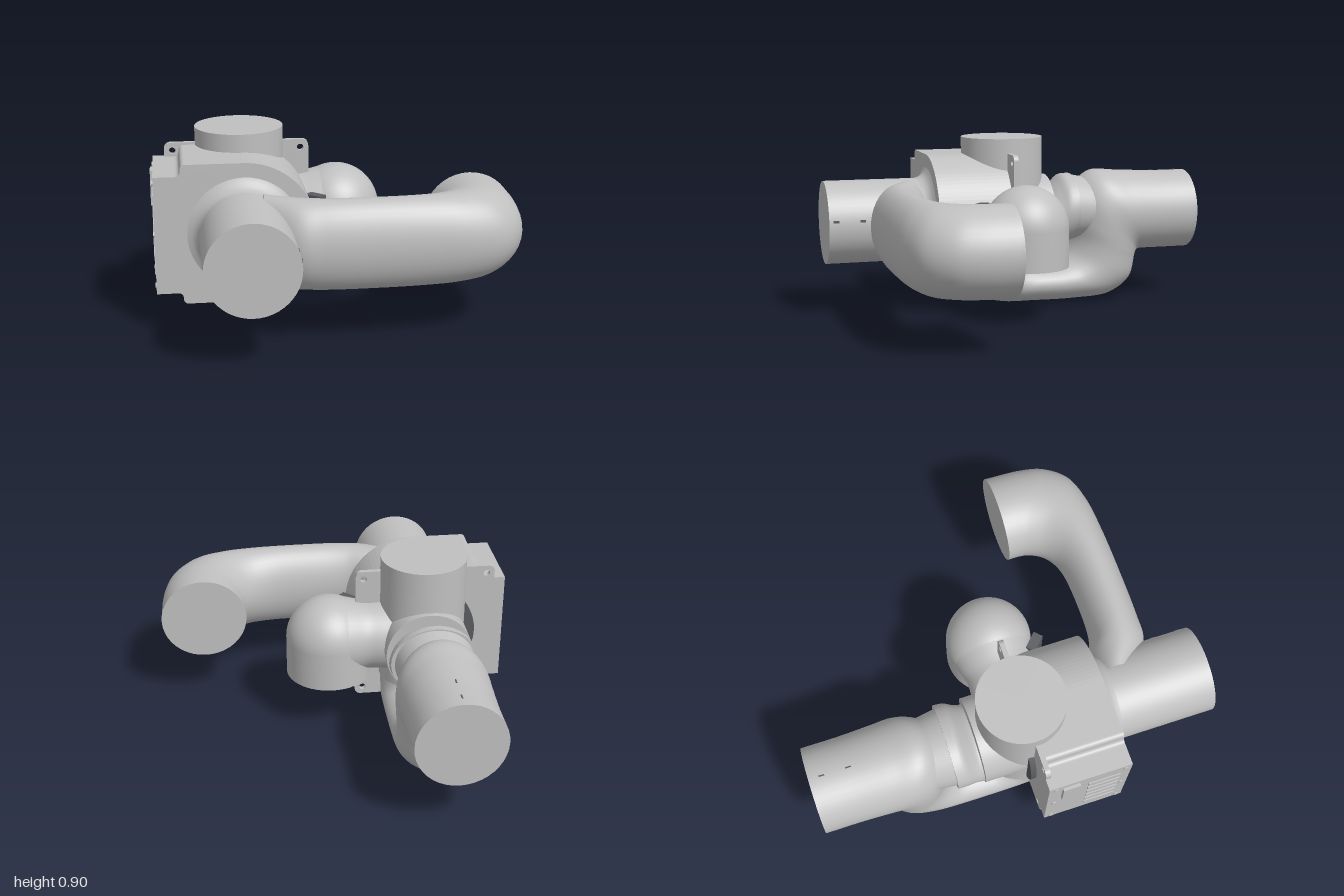
import * as THREE from 'three';

const CX = -0.44, CY = 0.475, R = 0.215;

// Closed loft of ellipses. Rows are [a1,b1, a2,b2, w]: two opposite edge points
// in a plane plus the half width across it; map() puts plane coordinates in space.
function loft(rows, map, steps = 48, sides = 40) {
  const curve = k => new THREE.CatmullRomCurve3(
    rows.map(r => new THREE.Vector3(r[k], r[k + 1], r[4])), false, 'centripetal');
  const c1 = curve(0), c2 = curve(2);
  const pos = [], idx = [], n = rows.length - 1;
  const rings = [];
  for (let i = 0; i <= steps; i++) {
    const t = i / steps, p = c1.getPoint(t), q = c2.getPoint(t);
    const ring = [];
    for (let j = 0; j < sides; j++) {
      const th = j / sides * Math.PI * 2, c = Math.cos(th) / 2;
      ring.push(map(
        (p.x + q.x) / 2 + (q.x - p.x) * c,
        (p.y + q.y) / 2 + (q.y - p.y) * c,
        (p.z + q.z) / 2 * Math.sin(th)));
    }
    rings.push(ring);
    ring.forEach(v => pos.push(...v));
  }
  // orientation from the signed volume between the first rings and their centre
  const mid = ring => ring.reduce((s, v) => s.add(new THREE.Vector3(...v)), new THREE.Vector3()).divideScalar(sides);
  const k = Math.floor(steps / 2), m = mid(rings[k]);
  const e = new THREE.Vector3(...rings[k][0]).sub(m);
  const d = new THREE.Vector3(...rings[k][1]).sub(new THREE.Vector3(...rings[k][0]));
  const flip = d.cross(mid(rings[k + 1]).sub(m)).dot(e) < 0;
  const tri = (a, b, c) => flip ? idx.push(a, c, b) : idx.push(a, b, c);
  for (let i = 0; i < steps; i++) for (let j = 0; j < sides; j++) {
    const a = i * sides + j, b = i * sides + (j + 1) % sides;
    tri(a, b, b + sides);
    tri(a, b + sides, a + sides);
  }
  // flat end caps
  [0, steps].forEach(i => {
    const base = pos.length / 3;
    rings[i].forEach(v => pos.push(...v));
    pos.push(...mid(rings[i]).toArray());
    for (let j = 0; j < sides; j++) {
      const a = base + j, b = base + (j + 1) % sides;
      if (i === 0) tri(base + sides, b, a); else tri(base + sides, a, b);
    }
  });
  const g = new THREE.BufferGeometry();
  g.setAttribute('position', new THREE.Float32BufferAttribute(pos, 3));
  g.setIndex(idx);
  g.computeVertexNormals();
  return g;
}

function extrude(shape, depth, z) {
  return new THREE.ExtrudeGeometry(shape, { depth, bevelEnabled: false, curveSegments: 24 }).translate(0, 0, z);
}

export function createModel() {
  const group = new THREE.Group();
  const grey = new THREE.MeshStandardMaterial({ color: 0xc0c0c0 });
  grey.name = 'light grey';
  const dark = new THREE.MeshStandardMaterial({ color: 0x5a5c60 });
  dark.name = 'dark grey';
  const add = (name, geo, mat = grey) => {
    const mesh = new THREE.Mesh(geo, mat);
    mesh.name = name;
    group.add(mesh);
    return mesh;
  };
  const pipeZ = (r, z0, z1) => new THREE.CylinderGeometry(r, r, z1 - z0, 48)
    .rotateX(Math.PI / 2).translate(CX, CY, (z0 + z1) / 2);
  const sidePlane = (z, y, w) => [CX + w, y, z];
  const levelPlane = (x, z, w) => [x, CY + w, z];

  // straight pipes through the valve body
  add('frontPipe', pipeZ(R, 0.3, 1));
  add('bodyPipe', pipeZ(R, -0.19, 0.4));
  add('topPipe', new THREE.CylinderGeometry(R, R, 0.65, 48).translate(CX, 0.575, 0.05));

  // rounded fillet where the front pipe leaves the housing
  const fillet = [[0.275, 0], [0.248, 0.01], [0.23, 0.025], [0.22, 0.042], [R, 0.06]]
    .map(p => new THREE.Vector2(...p));
  add('pipeFillet', new THREE.LatheGeometry(fillet, 48).rotateX(Math.PI / 2).translate(CX, CY, 0.458));

  // housing: stepped on one side, round on the other
  const h = new THREE.Shape();
  h.moveTo(-0.86, 0.19);
  h.lineTo(-0.76, 0.19);
  h.quadraticCurveTo(-0.735, 0.19, -0.735, 0.165);
  h.quadraticCurveTo(-0.735, 0.137, -0.71, 0.137);
  h.lineTo(CX, 0.137);
  h.absarc(CX, CY, 0.338, -Math.PI / 2, Math.PI / 2, false);
  h.lineTo(-0.71, 0.813);
  h.quadraticCurveTo(-0.735, 0.813, -0.735, 0.785);
  h.quadraticCurveTo(-0.735, 0.757, -0.76, 0.757);
  h.lineTo(-0.86, 0.757);
  h.closePath();
  add('housing', extrude(h, 0.39, 0.07));

  // mounting plate with four corner holes
  const x0 = -0.805, x1 = -0.1, y0 = 0.12, y1 = 0.825, c = 0.03;
  const p = new THREE.Shape();
  p.moveTo(x0 + c, y0);
  p.absarc(x1 - c, y0 + c, c, -Math.PI / 2, 0, false);
  p.absarc(x1 - c, y1 - c, c, 0, Math.PI / 2, false);
  p.absarc(x0 + c, y1 - c, c, Math.PI / 2, Math.PI, false);
  p.absarc(x0 + c, y0 + c, c, Math.PI, Math.PI * 1.5, false);
  for (const x of [x0 + 0.04, x1 - 0.04]) for (const y of [y0 + 0.04, y1 - 0.04]) {
    const hole = new THREE.Path();
    hole.absarc(x, y, 0.016, 0, Math.PI * 2, true);
    p.holes.push(hole);
  }
  add('mountingPlate', extrude(p, 0.025, 0.05));
  add('sealDisc', pipeZ(0.27, 0.022, 0.05), dark);

  // control panel on the housing side
  add('sidePanel', new THREE.BoxGeometry(0.06, 0.567, 0.03).translate(-0.83, 0.4735, 0.065));
  add('display', new THREE.BoxGeometry(0.016, 0.17, 0.085).translate(-0.867, 0.635, 0.16));
  for (let i = 0; i < 6; i++)
    add('ventSlot', new THREE.BoxGeometry(0.008, 0.035, 0.16).translate(-0.862, 0.29 + i * 0.07, 0.33));
  for (const y of [0.225, 0.4735, 0.722]) for (const z of [0.085, 0.43])
    add('panelScrew', new THREE.CylinderGeometry(0.014, 0.014, 0.008, 12).rotateZ(Math.PI / 2).translate(-0.862, y, z));

  // downward elbow on the left side
  add('elbowNeck', loft([
    [-0.4, -0.14, -0.4, 0.24, 0.19], [-0.22, -0.125, -0.22, 0.225, 0.178],
    [-0.15, -0.122, -0.15, 0.222, 0.176], [-0.08, -0.14, -0.08, 0.24, 0.19],
    [0.0, -0.16, 0.0, 0.26, 0.21]], levelPlane, 16));
  const dome = [new THREE.Vector2(0, 0.28), new THREE.Vector2(R, 0.28)];
  for (let i = 0; i <= 16; i++) {
    const a = i / 16 * Math.PI / 2;
    dome.push(new THREE.Vector2(R * Math.cos(a), CY + R * Math.sin(a)));
  }
  dome.splice(1, 0, new THREE.Vector2(R - 0.001, 0.28));
  add('elbowDome', new THREE.LatheGeometry(dome, 48).translate(0.037, 0, 0.05));
  const lever = add('lever', new THREE.BoxGeometry(0.05, 0.23, 0.09), dark);
  lever.position.set(-0.085, CY, 0.25);
  lever.rotation.y = 0.8;

  // flattened arm that turns back into a round opening
  add('frontArm', loft([
    [-0.36, 0.46, -0.36, 0.68, R], [-0.22, 0.49, -0.22, 0.79, R], [-0.12, 0.535, -0.1, 0.8, R],
    [0.1, 0.548, 0.1, 0.802, R], [0.3, 0.53, 0.4, 0.797, R], [0.37, 0.495, 0.6, 0.78, R],
    [0.41, 0.45, 0.75, 0.73, R], [0.435, 0.39, 0.84, 0.62, R], [0.44, 0.35, 0.87, 0.5, R],
    [0.44, 0.3, 0.88, 0.3, R]], levelPlane, 64));

  // bypass: down from the body, back underneath, up and out to the rear
  add('bypassPipe', loft([
    [-0.1, 0.3, 0.265, 0.3, R], [-0.1, 0.24, 0.26, 0.17, 0.21], [-0.12, 0.222, 0.22, 0.06, 0.205],
    [-0.15, 0.215, 0.08, 0.012, 0.203], [-0.17, 0.215, -0.1, 0.005, 0.203],
    [-0.22, 0.22, -0.35, 0.005, 0.203], [-0.26, 0.235, -0.55, 0.025, 0.203],
    [-0.3, 0.27, -0.67, 0.11, 0.205], [-0.33, 0.34, -0.7, 0.23, 0.21],
    [-0.33, 0.47, -0.705, 0.245, 0.217], [-0.36, 0.62, -0.711, 0.254, 0.222],
    [-0.45, 0.702, -0.72, 0.258, 0.224], [-0.6, 0.7, -0.75, 0.26, 0.22],
    [-0.8, 0.69, -0.85, 0.26, R], [-1, 0.69, -1, 0.26, R]], sidePlane, 90));

  // narrowed collar between the body and the rear pipe
  add('rearCollar', loft([
    [-0.17, 0.6, -0.17, 0.27, 0.205], [-0.2, 0.605, -0.2, 0.275, 0.2],
    [-0.24, 0.645, -0.24, 0.29, 0.203], [-0.28, 0.685, -0.28, 0.31, 0.213],
    [-0.33, 0.69, -0.33, 0.33, R]], sidePlane, 16));
  add('collarCore', loft([
    [-0.3, 0.69, -0.3, 0.33, 0.2], [-0.45, 0.66, -0.45, 0.33, 0.18]], sidePlane, 4));

  // small marks on the pipes
  for (const z of [-0.935, -0.805])
    add('rearMark', new THREE.BoxGeometry(0.006, 0.006, 0.028).translate(CX, CY + R, z), dark);
  for (const z of [0.965, 0.83])
    add('frontMark', new THREE.BoxGeometry(0.006, 0.012, 0.028).translate(CX + R - 0.002, 0.505, z), dark);

  return group;
}
